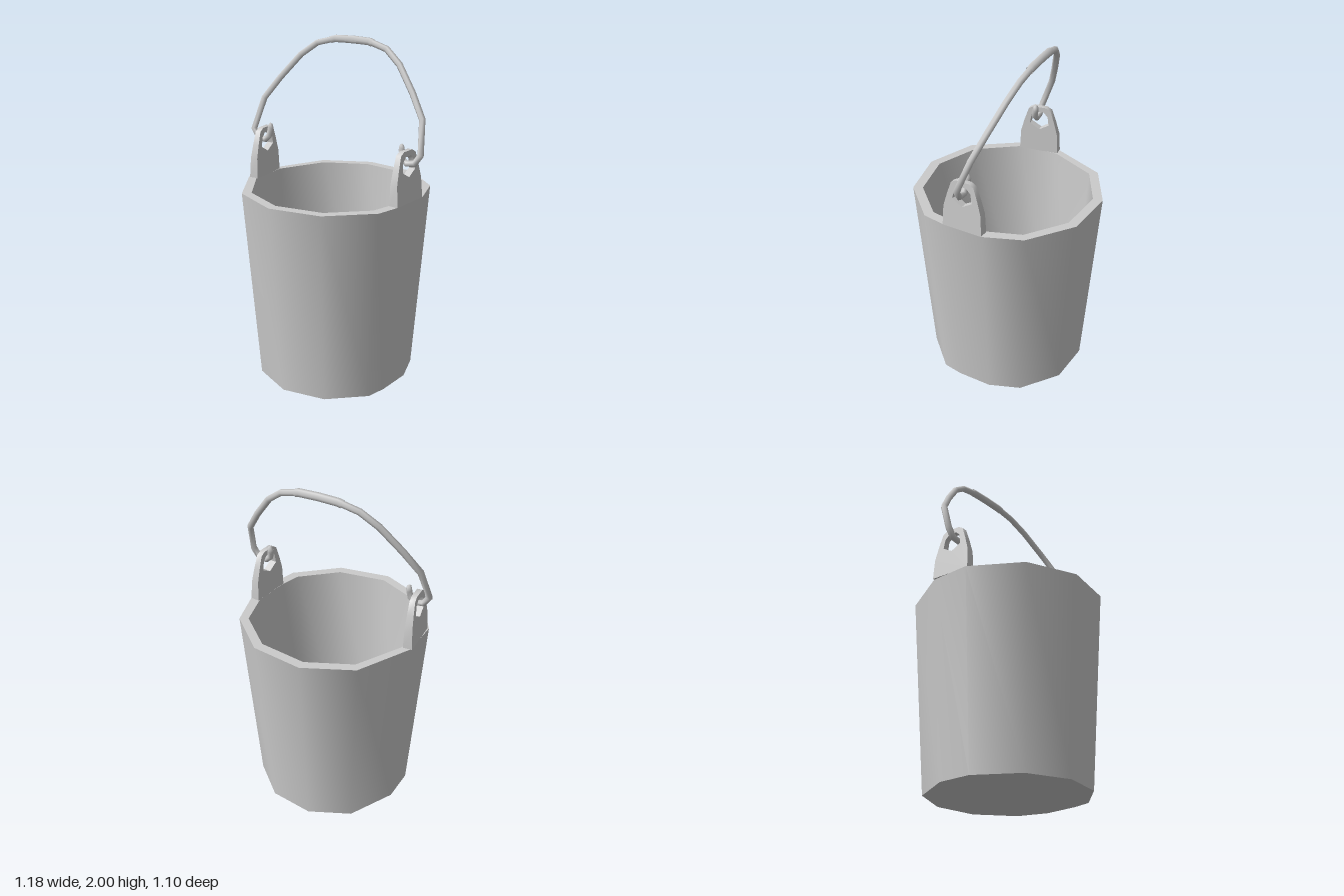
import * as THREE from 'three';
import { toCreasedNormals } from 'three/addons/utils/BufferGeometryUtils.js';

const material = new THREE.MeshStandardMaterial({ color: 0xcccccc, side: THREE.DoubleSide });

// Uneven twelve-sided rim outlines as [x, z]
const OUTER = [[-0.07, -0.552], [0.24, -0.503], [0.472, -0.29], [0.53, -0.07], [0.5, 0.175], [0.46, 0.31],
  [0.22, 0.508], [-0.09, 0.548], [-0.375, 0.41], [-0.54, 0.12], [-0.53, -0.12], [-0.355, -0.43]];
const INNER = [[-0.065, -0.495], [0.22, -0.45], [0.425, -0.265], [0.475, -0.06], [0.447, 0.16], [0.41, 0.28],
  [0.2, 0.455], [-0.085, 0.49], [-0.335, 0.37], [-0.485, 0.12], [-0.48, -0.12], [-0.325, -0.385]];

function mesh(name, geometry) {
  const m = new THREE.Mesh(geometry, material);
  m.name = name;
  return m;
}

// Pail: loops run from the underside, up the outside, over the rim and down to the floor
function pailGeometry() {
  const loops = [[OUTER, 0, 0], [OUTER, 0.845, 0], [OUTER, 1, 1.15], [INNER, 1, 1.15], [INNER, 0.87, 0.05], [INNER, 0, 0.05]]
    .map(([ring, s, y]) => ring.map(([x, z]) => [x * s, y, z * s]));
  const pos = [];
  const n = OUTER.length;
  for (let k = 0; k < loops.length - 1; k++) {
    for (let i = 0; i < n; i++) {
      const j = (i + 1) % n;
      const [a, b, c, d] = [loops[k][i], loops[k][j], loops[k + 1][i], loops[k + 1][j]];
      if (k < loops.length - 2) pos.push(...a, ...c, ...d);
      if (k > 0) pos.push(...a, ...d, ...b);
    }
  }
  const g = new THREE.BufferGeometry();
  g.setAttribute('position', new THREE.Float32BufferAttribute(pos, 3));
  return toCreasedNormals(g, 1.0);
}

// Ear: a tapering lug with a six-sided hole, thinner towards the top
function earGeometry() {
  const v = (list) => list.map(([x, y]) => new THREE.Vector2(x, y));
  const shape = new THREE.Shape(v([[-0.122, 0], [0.122, 0], [0.117, 0.12], [0.095, 0.2], [0.07, 0.275],
    [0.04, 0.293], [-0.04, 0.293], [-0.07, 0.275], [-0.095, 0.2], [-0.117, 0.12]]));
  shape.holes.push(new THREE.Path(v([[0, 0.145], [-0.06, 0.18], [-0.052, 0.235], [-0.025, 0.262],
    [0.025, 0.262], [0.052, 0.235], [0.06, 0.18]])));
  const g = new THREE.ExtrudeGeometry(shape, { depth: 0.055, bevelEnabled: false });
  g.translate(0, 0, -0.0275);
  const p = g.attributes.position;
  for (let i = 0; i < p.count; i++) p.setZ(i, p.getZ(i) * (1 - 1.5 * p.getY(i)));
  g.rotateY(-Math.PI / 2);
  return toCreasedNormals(g, 0.9);
}

// Path that puts one tube ring on each listed point
class PointPath extends THREE.Curve {
  constructor(points) {
    super();
    this.points = points;
  }
  getPointAt(u, target = new THREE.Vector3()) {
    return target.copy(this.points[Math.round(u * (this.points.length - 1))]);
  }
  getTangentAt(u, target = new THREE.Vector3()) {
    const last = this.points.length - 1;
    const i = Math.round(u * last);
    const before = this.points[Math.max(i - 1, 0)];
    const after = this.points[Math.min(i + 1, last)];
    const a = this.points[i].clone().sub(before).normalize();
    const b = after.clone().sub(this.points[i]).normalize();
    return target.copy(a).add(b).normalize();
  }
}

function rod(points, radius) {
  return new THREE.TubeGeometry(new PointPath(points), points.length - 1, radius, 6, false);
}

// The handle leans back as it rises and is slightly skewed along x
function handlePoint(x, y) {
  return new THREE.Vector3(x, y, 0.035 + x * 0.035 - Math.max(0, y - 1.42) * 0.395);
}

// Small cap on a rod end
function cap(name, point, radius, stretch) {
  const m = mesh(name, new THREE.SphereGeometry(radius, 6, 4));
  m.position.copy(point);
  m.scale.y = stretch;
  return m;
}

export function createModel() {
  const group = new THREE.Group();
  group.add(mesh('pail', pailGeometry()));

  const earShape = earGeometry();
  for (const [name, x, z, turn, lean] of [['leftEar', 0.489, 0.053, -0.12, 0.03], ['rightEar', -0.508, 0, 0.04, -0.02]]) {
    const ear = mesh(name, earShape);
    ear.position.set(x, 1.149, z);
    ear.rotation.set(0, turn, lean);
    group.add(ear);
  }

  // Wire handle with hooked ends passing through the ears
  const half = [[0.45, 1.44], [0.456, 1.395], [0.485, 1.368], [0.535, 1.375], [0.57, 1.425],
    [0.538, 1.605], [0.45, 1.73], [0.335, 1.868], [0.235, 1.942], [0.12, 1.972]];
  const right = half.map(([x, y]) => handlePoint(-x, y));
  const left = half.map(([x, y]) => handlePoint(x, y)).reverse();
  const path = [...right, ...left];
  group.add(mesh('handle', rod(path, 0.019)));
  group.add(cap('rightHookTip', path[0], 0.019, 1.8), cap('leftHookTip', path[path.length - 1], 0.019, 1.8));

  // Slightly thicker grip at the top
  const grip = [[-0.14, 1.966], [-0.115, 1.973], [0, 1.977], [0.115, 1.973], [0.14, 1.966]].map(([x, y]) => handlePoint(x, y));
  group.add(mesh('grip', rod(grip, 0.023)));
  return group;
}
